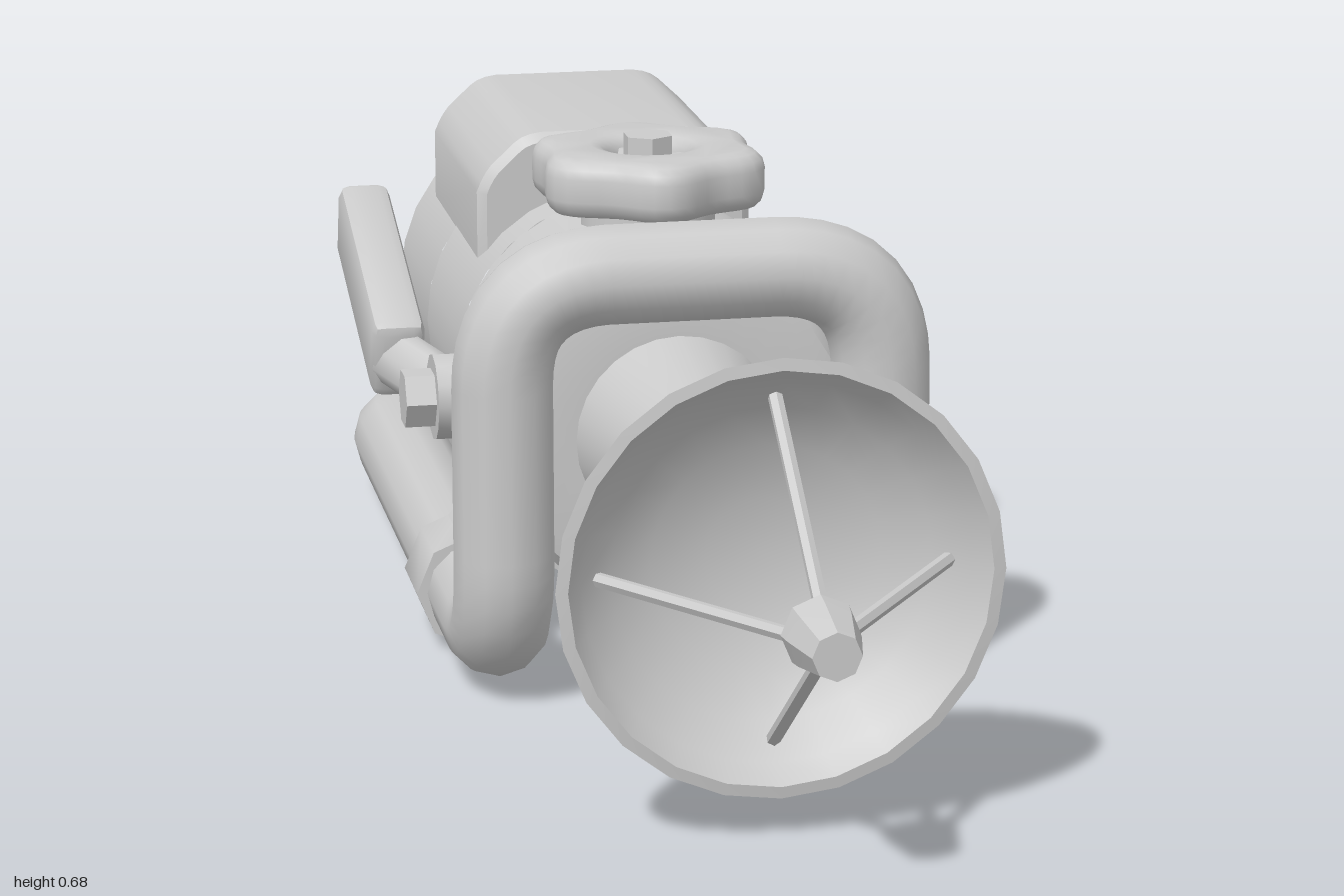
import * as THREE from 'three';
import { toCreasedNormals } from 'three/addons/utils/BufferGeometryUtils.js';
import { RoundedBoxGeometry } from 'three/addons/geometries/RoundedBoxGeometry.js';

const AXIS_Y = 0.322; // height of the barrel axis
const SIDE_X = 0.245; // half width of the carrying frame

export function createModel() {
  const model = new THREE.Group();
  model.name = 'dishDevice';
  model.position.x = -0.032;
  const grey = new THREE.MeshStandardMaterial({ color: 0xcccccc });

  function add(name, geometry, x = 0, y = 0, z = 0, crease = 0.6) {
    const mesh = new THREE.Mesh(crease ? toCreasedNormals(geometry, crease) : geometry, grey);
    mesh.name = name;
    mesh.position.set(x, y, z);
    model.add(mesh);
    return mesh;
  }
  // Turned part along z; profile is [radius, z] listed from back to front
  function turned(name, profile, segments = 28, start = 0, length = Math.PI * 2) {
    const points = profile.map(([r, z]) => new THREE.Vector2(r, z));
    const geometry = new THREE.LatheGeometry(points, segments, start, length).rotateX(Math.PI / 2);
    return add(name, geometry, 0, AXIS_Y, 0);
  }
  // Rod between two points
  function rod(name, a, b, r, sides = 8) {
    const from = new THREE.Vector3(...a), to = new THREE.Vector3(...b);
    const dir = to.clone().sub(from);
    const mesh = add(name, new THREE.CylinderGeometry(r, r, dir.length(), sides), 0, 0, 0, 0.8);
    mesh.position.copy(from).addScaledVector(dir, 0.5);
    mesh.quaternion.setFromUnitVectors(new THREE.Vector3(0, 1, 0), dir.normalize());
    return mesh;
  }

  // Barrel, split around the side slot
  const half = 0.25;
  turned('rearCap', [[0, -0.988], [0.125, -0.988], [0.132, -1], [0.165, -1], [0.19, -0.975],
    [0.205, -0.88], [0.222, -0.875], [0.233, -0.86], [0.233, -0.59]]);
  turned('slottedBarrel', [[0.233, -0.59], [0.233, -0.31]], 28, Math.PI / 2 + half, Math.PI * 2 - 2 * half);
  turned('frontBarrel', [[0.233, -0.31], [0.233, -0.215], [0.255, -0.215], [0.255, -0.05], [0.233, -0.05],
    [0.233, 0.06], [0.222, 0.075], [0.2, 0.08], [0.135, 0.08], [0.11, 0.24], [0.11, 0.285],
    [0.078, 0.285], [0.078, 0.31], [0, 0.31]]);
  const slot = add('slotRecess', new THREE.BoxGeometry(0.046, 0.115, 0.28), 0.203, AXIS_Y, -0.45);
  slot.material = new THREE.MeshStandardMaterial({ color: 0xcccccc, side: THREE.BackSide });

  // Neck, dish and feed
  turned('neck', [[0.057, 0.3], [0.057, 0.55], [0.072, 0.55], [0.072, 0.59], [0, 0.59]], 16);
  turned('dish', [[0, 0.578], [0.08, 0.58], [0.15, 0.604], [0.21, 0.64], [0.25, 0.682], [0.27, 0.712],
    [0.255, 0.714], [0.235, 0.685], [0.195, 0.65], [0.14, 0.618], [0.07, 0.6], [0, 0.594]], 24);
  turned('feedHorn', [[0, 0.905], [0.046, 0.912], [0.043, 0.935], [0.029, 1], [0, 1]], 8);
  for (let i = 0; i < 4; i++) {
    const c = Math.round(Math.cos(i * Math.PI / 2)), s = Math.round(Math.sin(i * Math.PI / 2));
    rod('feedStrut', [c * 0.215, AXIS_Y + s * 0.215, 0.66], [c * 0.025, AXIS_Y + s * 0.025, 0.925], 0.009, 6);
  }

  // Closed tubular frame: front arch running into a U-shaped base rail
  const corners = [
    [-SIDE_X, 0.565, 0.17, 0.14], [SIDE_X, 0.565, 0.17, 0.14], [SIDE_X, 0.08, 0.17, 0.12],
    [SIDE_X, 0.08, -0.935, 0.11], [-SIDE_X, 0.08, -0.935, 0.11], [-SIDE_X, 0.08, 0.17, 0.12],
  ].map(([x, y, z, r]) => ({ p: new THREE.Vector3(x, y, z), r }));
  const toward = (a, b) => a.p.clone().add(b.p.clone().sub(a.p).setLength(a.r));
  const path = new THREE.CurvePath();
  corners.forEach((corner, i) => {
    const prev = corners[(i + 5) % 6], next = corners[(i + 1) % 6];
    path.add(new THREE.QuadraticBezierCurve3(toward(corner, prev), corner.p, toward(corner, next)));
    path.add(new THREE.LineCurve3(toward(corner, next), toward(next, corner)));
  });
  add('frameTube', new THREE.TubeGeometry(path, 160, 0.065, 12, true), 0, 0, 0, 0);

  // Clamps joining the rails to the barrel band
  for (const side of [-1, 1]) {
    rod('railClamp', [side * SIDE_X, 0.08, -0.195], [side * SIDE_X, 0.08, -0.075], 0.079, 8);
    const arm = add('clampArm', new THREE.BoxGeometry(0.11, 0.17, 0.12), side * 0.205, 0.135, -0.135);
    arm.rotation.z = side * 0.72;
  }

  // Chamfered housings above and below the barrel
  const housing = new THREE.Shape();
  housing.moveTo(-0.19, 0.128);
  housing.lineTo(0.19, 0.128);
  housing.lineTo(0.19, 0.228);
  housing.quadraticCurveTo(0.182, 0.25, 0.17, 0.264);
  housing.lineTo(0.138, 0.294);
  housing.quadraticCurveTo(0.125, 0.306, 0.1, 0.308);
  housing.lineTo(-0.1, 0.308);
  housing.quadraticCurveTo(-0.125, 0.306, -0.138, 0.294);
  housing.lineTo(-0.17, 0.264);
  housing.quadraticCurveTo(-0.182, 0.25, -0.19, 0.228);
  for (const [name, turn] of [['topHousing', 0], ['bottomHousing', Math.PI]]) {
    const geometry = new THREE.ExtrudeGeometry(housing, {
      depth: 0.4, bevelThickness: 0.012, bevelSize: 0.012, bevelOffset: -0.012, bevelSegments: 1, curveSegments: 3,
    });
    add(name, geometry, 0, AXIS_Y, -0.792).rotation.z = turn;
  }

  // Lobed hand wheel with a sunken nut
  const wheel = new THREE.Shape();
  const lobed = [];
  for (let i = 0; i < 48; i++) {
    const a = i * Math.PI / 24, r = 0.149 - 0.011 * Math.cos(6 * a);
    lobed.push(new THREE.Vector2(r * Math.cos(a), r * Math.sin(a)));
  }
  wheel.setFromPoints(lobed);
  wheel.holes.push(new THREE.Path().absarc(0, 0, 0.052, 0, Math.PI * 2, true));
  const wheelGeometry = new THREE.ExtrudeGeometry(wheel, {
    depth: 0.03, bevelThickness: 0.024, bevelSize: 0.024, bevelOffset: -0.024, bevelSegments: 3, curveSegments: 12,
  }).rotateX(-Math.PI / 2);
  add('handWheel', wheelGeometry, 0, 0.611, -0.135, 0.9);
  add('wheelHub', new THREE.CylinderGeometry(0.09, 0.09, 0.075, 16), 0, 0.595, -0.135);
  add('wheelNut', new THREE.CylinderGeometry(0.034, 0.034, 0.06, 6), 0, 0.647, -0.135);
  for (let i = 0; i < 6; i++) {
    const a = i * Math.PI / 3;
    const c = Math.cos(a), s = Math.sin(a);
    rod('wheelSpoke', [0, 0.642, -0.135], [c * 0.08, 0.642, -0.135 + s * 0.08], 0.009, 6);
  }

  // Sliding knob in the side slot
  rod('knobStem', [0.185, AXIS_Y, -0.38], [0.27, AXIS_Y, -0.38], 0.034, 12);
  const knobProfile = [[0, 0.252], [0.048, 0.252], [0.056, 0.262], [0.065, 0.385], [0.056, 0.408], [0.04, 0.413], [0, 0.413]];
  const knob = new THREE.LatheGeometry(knobProfile.map(([r, h]) => new THREE.Vector2(r, h)), 12).rotateZ(-Math.PI / 2);
  add('slideKnob', knob, 0, AXIS_Y, -0.38, 0.7);

  // Lever on the other side: grip, cranked arm and pivot
  const grip = add('leverGrip', new RoundedBoxGeometry(0.072, 0.115, 0.39, 1, 0.016), -0.316, 0.403, -0.465);
  grip.rotation.x = 0.31;
  const arm = rod('leverArm', [-0.325, 0.352, -0.3], [-0.25, 0.325, -0.14], 0.04, 8);
  arm.scale.x = 0.6;
  rod('leverPivot', [-0.29, AXIS_Y + 0.01, -0.14], [-0.22, AXIS_Y + 0.01, -0.14], 0.058, 12);
  rod('leverNut', [-0.33, AXIS_Y + 0.01, -0.14], [-0.28, AXIS_Y + 0.01, -0.14], 0.04, 6);

  return model;
}
